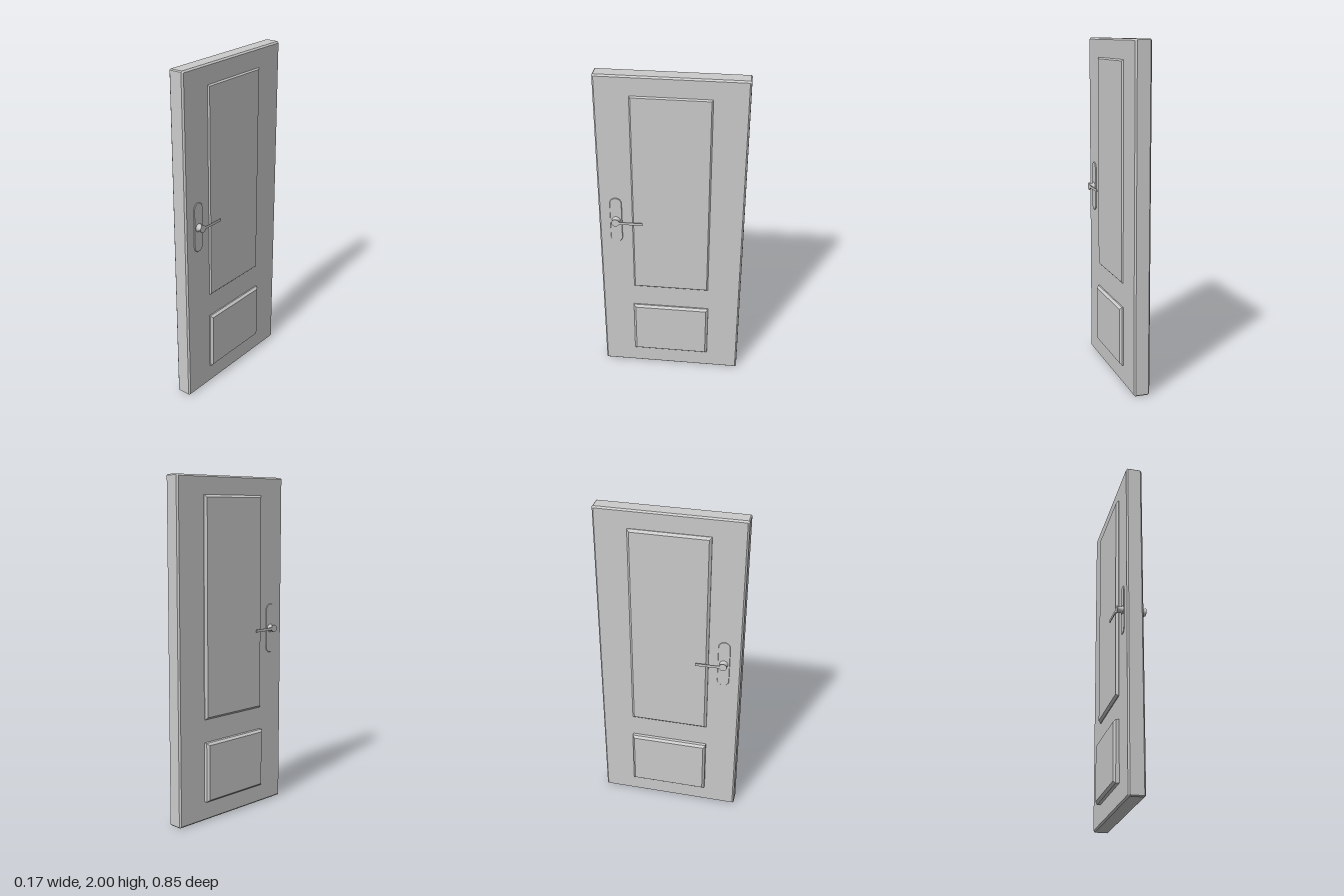
import * as THREE from 'three';

const material = new THREE.MeshStandardMaterial({ color: 0xcccccc });

function addMesh(parent, name, geometry) {
  const mesh = new THREE.Mesh(geometry, material);
  mesh.name = name;
  parent.add(mesh);
  return mesh;
}

// Rectangle in the z-y plane, with optional cut corners
function rectangle(halfZ, y0, y1, cut = 0) {
  const s = new THREE.Shape();
  s.moveTo(-halfZ + cut, y0);
  s.lineTo(halfZ - cut, y0);
  if (cut) s.lineTo(halfZ, y0 + cut);
  s.lineTo(halfZ, y1 - cut);
  if (cut) s.lineTo(halfZ - cut, y1);
  s.lineTo(-halfZ + cut, y1);
  if (cut) s.lineTo(-halfZ, y1 - cut);
  s.lineTo(-halfZ, y0 + cut);
  return s;
}

// Tall oblong with round ends, centred on the origin
function oblong(radius, halfHeight) {
  const s = new THREE.Shape();
  s.absarc(0, halfHeight - radius, radius, 0, Math.PI);
  s.absarc(0, radius - halfHeight, radius, Math.PI, Math.PI * 2);
  return s;
}

// Extrude a z-y outline from x0 to x1 with chamfered face edges
function slab(shape, x0, x1, bevel) {
  const g = new THREE.ExtrudeGeometry(shape, {
    depth: x1 - x0 - 2 * bevel, bevelEnabled: true, bevelSegments: 1,
    bevelSize: bevel, bevelThickness: bevel, bevelOffset: -bevel, curveSegments: 16,
  });
  return g.translate(0, 0, x0 + bevel).rotateY(Math.PI / 2);
}

// Lever handle on one face; side is +1 or -1 along x
function makeHandle(side, face, plateTop, end, tilt) {
  const handle = new THREE.Group();
  handle.name = side > 0 ? 'leftHandle' : 'rightHandle';
  handle.position.set(0, 1.093, 0.322);

  const xs = [side * (face - 0.01), side * plateTop].sort((a, b) => a - b);
  addMesh(handle, 'backPlate', slab(oblong(0.035, 0.15), xs[0], xs[1], 0.002));

  // Spindle flares at the plate and at its outer end
  const profile = [
    [0.026, face], [0.025, plateTop], [0.02, plateTop + 0.004], [0.0175, plateTop + 0.01],
    [0.0175, end - 0.012], [0.02, end - 0.007], [0.023, end - 0.005],
    [0.023, end], [0.023, end], [0, end],
  ].map(([r, h]) => new THREE.Vector2(r, h));
  addMesh(handle, 'spindle', new THREE.LatheGeometry(profile, 24).rotateZ(-side * Math.PI / 2));

  // Flat lever reaching towards the middle of the door
  const lever = new THREE.BoxGeometry(0.005, 0.016, 0.155).translate(0, 0, -0.0825);
  const mesh = addMesh(handle, 'lever', lever);
  mesh.position.x = side * (end - 0.0025);
  mesh.rotation.y = -side * tilt;
  return handle;
}

export function createModel() {
  const door = new THREE.Group();
  door.name = 'door';

  addMesh(door, 'doorLeaf', slab(rectangle(0.424, 0, 2, 0.006), -0.046, 0.048, 0.009));

  // Raised panels pass through the leaf and show on both faces
  addMesh(door, 'upperPanel', slab(rectangle(0.232, 0.61, 1.892), -0.063, 0.056, 0.013));
  addMesh(door, 'lowerPanel', slab(rectangle(0.232, 0.117, 0.473), -0.078, 0.069, 0.013));

  door.add(makeHandle(1, 0.048, 0.054, 0.086, 0));
  door.add(makeHandle(-1, 0.046, 0.049, 0.083, 0.03));
  return door;
}
